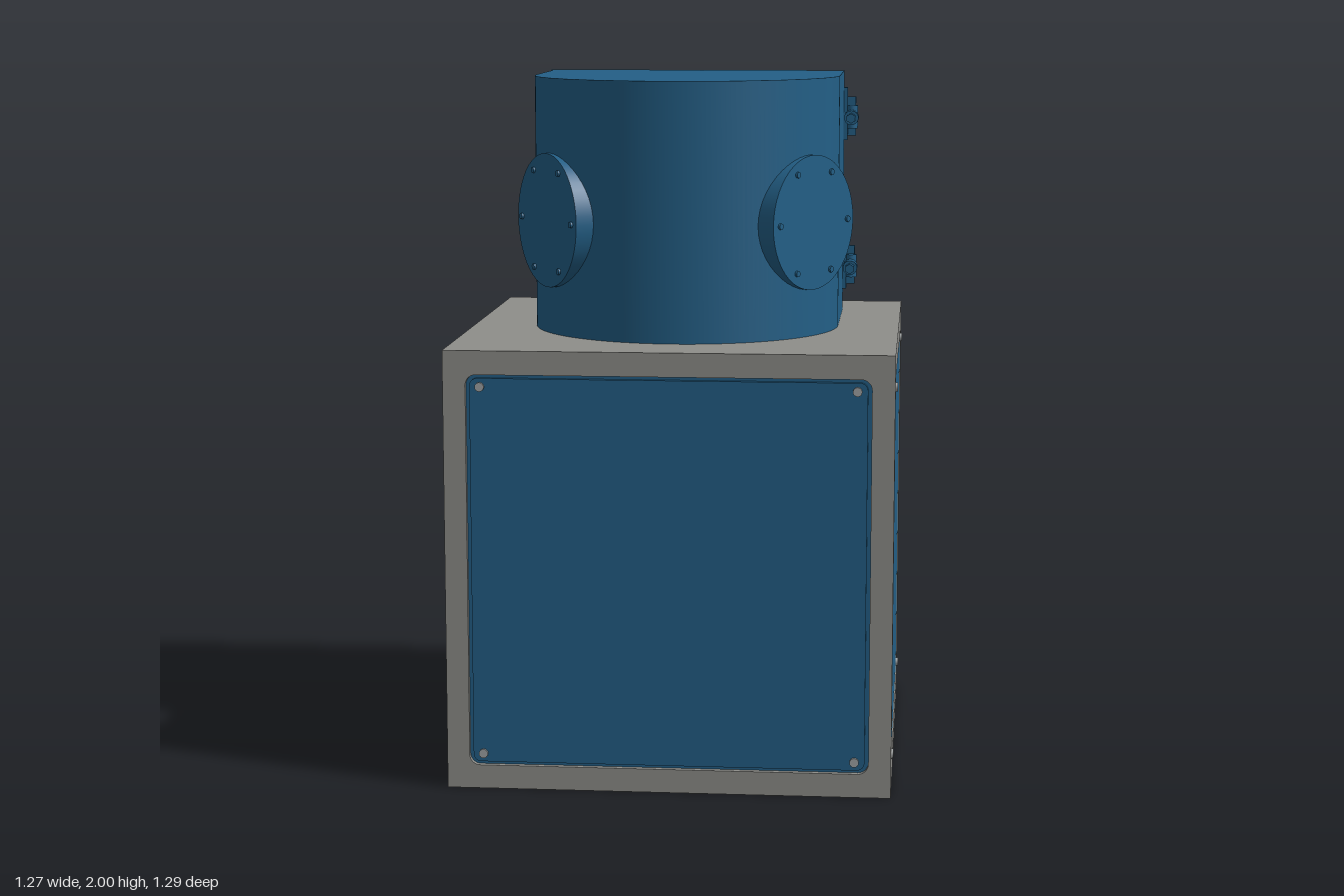
import * as THREE from 'three';
import { toCreasedNormals } from 'three/addons/utils/BufferGeometryUtils.js';

const mat = (name, color) => Object.assign(new THREE.MeshStandardMaterial({ color }), { name });

export function createModel() {
  const blue = mat('blue paint', 0x235f86);
  const grey = mat('grey frame', 0x8e8e8a);
  const black = mat('black plastic', 0x0b0b0b);
  const steel = mat('light steel', 0xa2a5a6);

  const add = (parent, name, geo, material, x = 0, y = 0, z = 0) => {
    const m = new THREE.Mesh(geo, material);
    m.name = name;
    m.position.set(x, y, z);
    parent.add(m);
    return m;
  };
  const group = (parent, name, x = 0, y = 0, z = 0, ry = 0) => {
    const g = new THREE.Group();
    g.name = name;
    g.position.set(x, y, z);
    g.rotation.y = ry;
    parent.add(g);
    return g;
  };
  const box = (w, h, d) => new THREE.BoxGeometry(w, h, d);
  // Disc or rod whose axis runs along z
  const disc = (r, d, n = 40) => new THREE.CylinderGeometry(r, r, d, n).rotateX(Math.PI / 2);
  const roundRect = (w, h, r, P = THREE.Shape) => {
    const s = new P(), a = w / 2, b = h / 2;
    s.moveTo(-a + r, -b);
    s.lineTo(a - r, -b).absarc(a - r, -b + r, r, -Math.PI / 2, 0);
    s.lineTo(a, b - r).absarc(a - r, b - r, r, 0, Math.PI / 2);
    s.lineTo(-a + r, b).absarc(-a + r, b - r, r, Math.PI / 2, Math.PI);
    s.lineTo(-a, -b + r).absarc(-a + r, -b + r, r, Math.PI, Math.PI * 1.5);
    return s;
  };
  const extrude = (s, depth, curveSegments = 6) =>
    new THREE.ExtrudeGeometry(s, { depth, bevelEnabled: false, curveSegments });

  const model = new THREE.Group();
  model.name = 'vacuumChamberOnCabinet';

  // Cabinet: core block and four framed sides with inset panels
  const H = 1.26, half = 0.631;
  const cabinet = group(model, 'cabinet', 0, H / 2, 0.006);
  add(cabinet, 'cabinetCore', box(1.222, H, 1.222), grey);
  const frameShape = roundRect(half * 2, H, 0.001);
  frameShape.holes.push(roundRect(1.134, 1.124, 0.03, THREE.Path));
  const frameGeo = extrude(frameShape, 0.02);
  const grooveGeo = extrude(roundRect(1.134, 1.124, 0.03), 0.004);
  const panelGeo = extrude(roundRect(1.112, 1.104, 0.022), 0.015);
  const sideNames = ['front', 'left', 'back', 'right'];
  sideNames.forEach((n, i) => {
    const side = group(cabinet, n + 'Side', 0, 0, 0, i * Math.PI / 2);
    add(side, 'frame', frameGeo, grey, 0, 0, half - 0.02);
    add(side, 'panelGroove', grooveGeo, blue, 0, 0, half - 0.02);
    add(side, 'panel', panelGeo, blue, 0, 0, half - 0.018);
    for (const sx of [-1, 1]) for (const sy of [-1, 1])
      add(side, 'panelScrew', disc(0.013, 0.01, 16), steel, sx * 0.527, sy * 0.528, half);
  });

  // Instruments on the back panel
  const controls = group(model, 'controls', 0, 0, -0.622);
  for (const [x, y, r] of [[0.41, 0.885, 0.077], [0.14, 0.85, 0.04], [-0.16, 0.88, 0.07]]) {
    add(controls, 'gaugeRim', disc(r, 0.012), black, x, y, -0.004);
    add(controls, 'gaugeFace', disc(r * 0.88, 0.004), grey, x, y, -0.0105);
  }
  add(controls, 'keypad', box(0.14, 0.165, 0.012), black, -0.405, 0.875, -0.004);
  for (let i = 0; i < 3; i++) for (let j = 0; j < 3; j++)
    add(controls, 'keypadLight', box(0.009, 0.006, 0.003), steel, -0.445 + i * 0.04, 0.825 + j * 0.045, -0.011);
  const leverPath = new THREE.CatmullRomCurve3([
    [0, 0.84, 0], [0, 0.825, -0.014], [0, 0.75, -0.017], [0, 0.69, -0.013], [0, 0.665, -0.006],
  ].map(p => new THREE.Vector3(...p)));
  add(controls, 'lever', new THREE.TubeGeometry(leverPath, 24, 0.007, 8), black);
  add(controls, 'leverFoot', disc(0.014, 0.014, 16), black, 0, 0.67, -0.005);

  // Chamber body with a D-shaped plan
  const plan = new THREE.Shape();
  plan.moveTo(-0.45, 0.392);
  plan.lineTo(-0.45, 0);
  plan.absellipse(0, 0, 0.45, 0.455, Math.PI, Math.PI * 2, false, 0);
  plan.lineTo(0.45, 0.392);
  const body = extrude(plan, 2 - H, 48).rotateX(-Math.PI / 2);
  add(model, 'chamberBody', toCreasedNormals(body, 0.5), blue, 0, H, 0);

  // Two blanked ports on the curved front
  for (const s of [-1, 1]) {
    const port = group(model, s > 0 ? 'leftPort' : 'rightPort', 0, 1.59, 0, s * 0.985);
    add(port, 'portNeck', disc(0.18, 0.12, 48), blue, 0, 0, 0.38);
    add(port, 'portFlange', disc(0.194, 0.055, 48), blue, 0, 0, 0.437);
    for (let i = 0; i < 6; i++) {
      const a = i * Math.PI / 3;
      add(port, 'portBolt', disc(0.009, 0.008, 12), blue, 0.163 * Math.cos(a), 0.163 * Math.sin(a), 0.467);
    }
  }

  // Door
  const door = group(model, 'door');
  add(door, 'doorSlab', box(0.91, 0.732, 0.028), blue, -0.005, 1.634, -0.407);
  add(door, 'doorSeal', box(0.84, 0.7, 0.012), blue, 0, 1.634, -0.39);
  add(door, 'namePlate', box(0.25, 0.15, 0.004), grey, -0.315, 1.895, -0.422);

  // Door flange, clamp tabs and central latch
  const latch = group(door, 'doorFlange', 0, 1.65, -0.42);
  add(latch, 'flangeDisc', disc(0.205, 0.008, 48), blue, 0, 0, -0.001);
  for (let i = 0; i < 6; i++) {
    const a = i * Math.PI / 3;
    const tab = add(latch, 'clampTab', box(0.055, 0.014, 0.008), blue,
      0.175 * Math.cos(a), 0.175 * Math.sin(a), -0.014);
    tab.rotation.y = 0.45;
  }
  add(latch, 'latchBase', disc(0.046, 0.026, 32), blue, 0, 0, -0.012);
  add(latch, 'latchHub', disc(0.03, 0.028, 24), blue, 0, 0, -0.026);
  add(latch, 'latchShaft', disc(0.014, 0.03, 16), steel, 0, 0, -0.042);
  const arm = add(latch, 'latchLever', box(0.085, 0.012, 0.008), steel, 0.04, 0.018, -0.047);
  arm.rotation.z = 0.42;
  add(latch, 'latchKnob', new THREE.SphereGeometry(0.01, 12, 8), steel, 0.08, 0.036, -0.047);

  // Pull handle
  const grip = new THREE.CatmullRomCurve3([
    [0, 1.45, -0.415], [0, 1.45, -0.445], [0, 1.465, -0.458], [0, 1.6, -0.46],
    [0, 1.725, -0.458], [0, 1.74, -0.445], [0, 1.74, -0.415],
  ].map(p => new THREE.Vector3(...p)), false, 'catmullrom', 0.3);
  add(door, 'pullHandle', new THREE.TubeGeometry(grip, 48, 0.013, 12), blue, -0.42);

  // Hinges on the model's left
  for (const y of [1.86, 1.4]) {
    const hinge = group(model, 'hinge', 0.45, y, 0);
    add(hinge, 'doorLeaf', box(0.085, 0.12, 0.016), blue, -0.006, 0, -0.411);
    add(hinge, 'bodyLeaf', box(0.014, 0.16, 0.03), blue, 0.005, 0.01, -0.375);
    add(hinge, 'hingeArm', box(0.03, 0.03, 0.09), blue, 0.022, 0, -0.37);
    add(hinge, 'hingePin', new THREE.CylinderGeometry(0.018, 0.018, 0.07, 20), blue, 0.025, 0, -0.375);
    add(hinge, 'hingeBarrel', disc(0.022, 0.05, 20), blue, 0.025, 0, -0.33);
    add(hinge, 'hingeBolt', disc(0.015, 0.04, 6), blue, 0.025, 0, -0.288);
  }
  return model;
}
